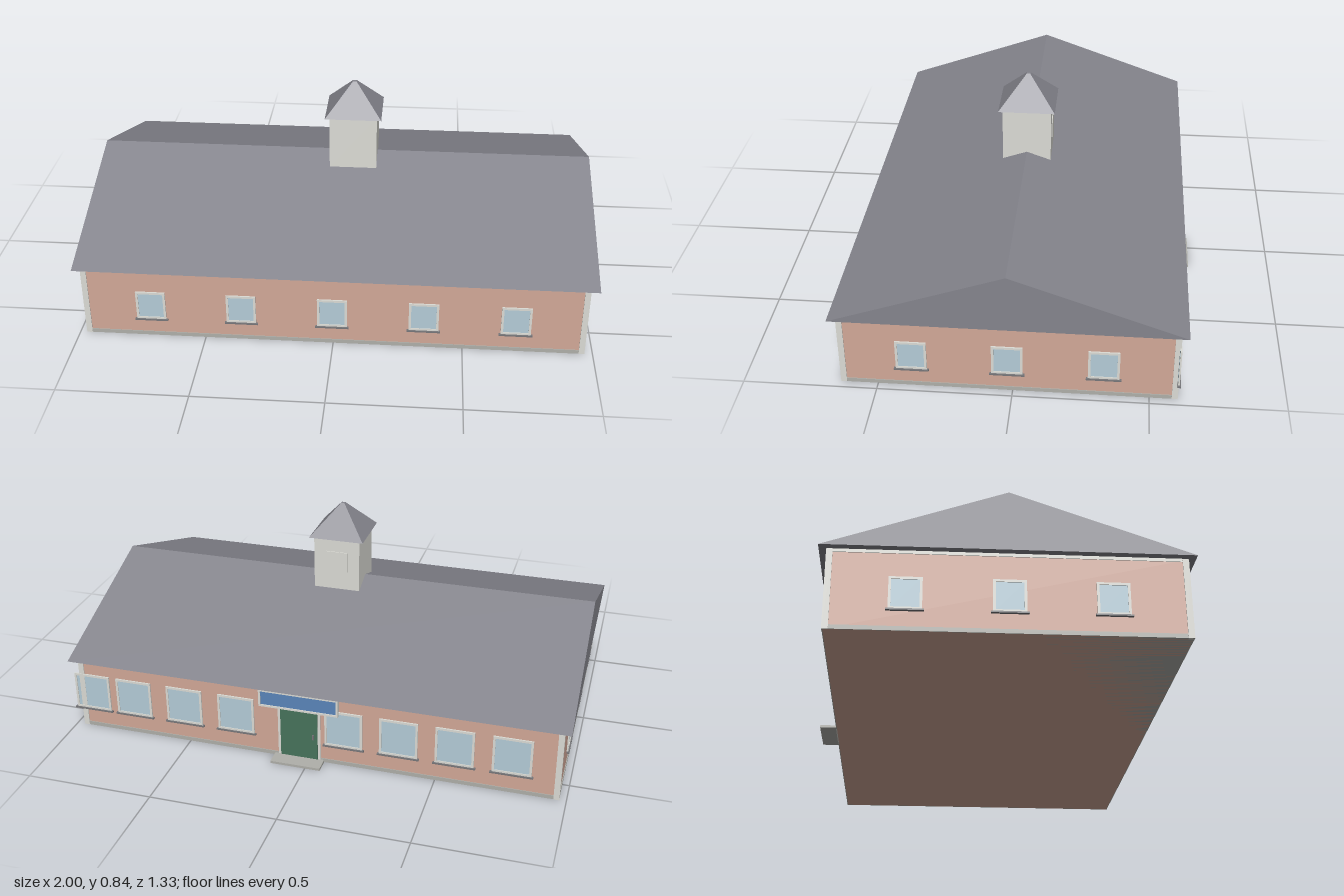
import * as THREE from 'three';

const mat = (color) => new THREE.MeshStandardMaterial({ color, flatShading: true });
const M = {
  wall: mat(0xd2a898), trim: mat(0xdcdcd6), roof: mat(0x85858d), glass: mat(0xb4ccd8),
  sill: mat(0x77777a), door: mat(0x47735c), sign: mat(0x5a86ba), stone: mat(0xb0b0aa),
};

// Building footprint
const X0 = -0.97, X1 = 0.965, Z0 = -0.6, Z1 = 0.635;
const CX = (X0 + X1) / 2, CZ = (Z0 + Z1) / 2;
const RIDGE_Z = 0.0175, EAVE_Y = 0.302;

function box(parent, name, material, w, h, d, x, y, z) {
  const mesh = new THREE.Mesh(new THREE.BoxGeometry(w, h, d), material);
  mesh.name = name;
  mesh.position.set(x, y, z);
  parent.add(mesh);
  return mesh;
}

// Picture-frame border around a w x h opening, facing +z, back at z = 0
function frame(parent, name, w, h, t, depth) {
  const shape = new THREE.Shape();
  shape.moveTo(-w / 2, -h / 2).lineTo(w / 2, -h / 2).lineTo(w / 2, h / 2).lineTo(-w / 2, h / 2).closePath();
  const a = w / 2 - t, b = h / 2 - t, hole = new THREE.Path();
  hole.moveTo(-a, -b).lineTo(-a, b).lineTo(a, b).lineTo(a, -b).closePath();
  shape.holes.push(hole);
  const mesh = new THREE.Mesh(new THREE.ExtrudeGeometry(shape, { depth, bevelEnabled: false }), M.trim);
  mesh.name = name;
  parent.add(mesh);
}

// Window with frame, glass and projecting sill, facing +z before rotation
function windowUnit(parent, name, w, h, x, y, z, turn) {
  const g = new THREE.Group();
  g.name = name;
  frame(g, 'windowFrame', w, h, 0.009, 0.006);
  box(g, 'windowGlass', M.glass, w - 0.016, h - 0.016, 0.004, 0, 0, 0.001);
  box(g, 'windowSill', M.sill, w + 0.014, 0.006, 0.012, 0, -h / 2 - 0.002, 0.005);
  g.position.set(x, y, z);
  g.rotation.y = turn;
  parent.add(g);
}

export function createModel() {
  const model = new THREE.Group();
  model.name = 'schoolhouse';

  // Brick body, plinth and eave band
  const W = X1 - X0, D = Z1 - Z0;
  box(model, 'walls', M.wall, W, 0.3, D, CX, 0.15, CZ);
  box(model, 'plinth', M.stone, W + 0.006, 0.016, D + 0.006, CX, 0.008, CZ);
  box(model, 'eaveBand', M.trim, W + 0.006, 0.012, D + 0.006, CX, 0.296, CZ);

  // Corner boards
  for (const x of [X0 + 0.007, X1 - 0.007]) {
    for (const z of [Z0 + 0.007, Z1 - 0.007]) {
      box(model, 'cornerBoard', M.trim, 0.022, 0.3, 0.022, x, 0.15, z);
    }
  }

  // Gabled roof, one prism along x
  const gable = new THREE.Shape();
  gable.moveTo(-0.6475, 0).lineTo(0.6475, 0).lineTo(0, 0.228).closePath();
  const roofGeo = new THREE.ExtrudeGeometry(gable, { depth: 2, bevelEnabled: false });
  roofGeo.translate(0, 0, -1).rotateY(Math.PI / 2);
  const roof = new THREE.Mesh(roofGeo, M.roof);
  roof.name = 'roof';
  roof.position.set(0, EAVE_Y, RIDGE_Z);
  model.add(roof);

  // Cupola tower with pyramid roof
  const cupola = new THREE.Group();
  cupola.name = 'cupola';
  cupola.position.set(0.04, 0, RIDGE_Z);
  box(cupola, 'cupolaTower', M.trim, 0.19, 0.225, 0.194, 0, 0.608, 0);
  box(cupola, 'cupolaPanel', M.trim, 0.09, 0.085, 0.006, 0, 0.618, -0.098);
  const cap = new THREE.Mesh(new THREE.CylinderGeometry(0.01, 0.113 * Math.SQRT2, 0.122, 4), M.roof);
  cap.name = 'cupolaRoof';
  cap.rotation.y = Math.PI / 4;
  cap.position.y = 0.778;
  cupola.add(cap);
  model.add(cupola);

  // Front windows
  for (let i = -2; i <= 2; i++) {
    windowUnit(model, 'frontWindow', 0.115, 0.122, -0.004 + i * 0.3525, 0.139, Z1, 0);
  }
  // Three windows on each gable end
  for (let i = -1; i <= 1; i++) {
    const z = 0.02 + i * 0.352;
    windowUnit(model, 'rightEndWindow', 0.115, 0.122, X1, 0.139, z, Math.PI / 2);
    windowUnit(model, 'leftEndWindow', 0.115, 0.122, X0, 0.139, z, -Math.PI / 2);
  }
  // Back windows either side of the entrance, the last one reaching the corner
  for (const x of [0.915, 0.735, 0.518, 0.3, -0.138, -0.355, -0.572, -0.79]) {
    windowUnit(model, 'backWindow', 0.15, 0.155, x, 0.16, Z0, Math.PI);
  }

  // Entrance: door, sign board and step
  const entrance = new THREE.Group();
  entrance.name = 'entrance';
  entrance.position.set(0.04, 0, Z0);
  entrance.rotation.y = Math.PI;
  box(entrance, 'doorFrame', M.trim, 0.172, 0.236, 0.006, 0, 0.118, 0.001);
  box(entrance, 'door', M.door, 0.15, 0.22, 0.01, 0, 0.116, 0.002);
  box(entrance, 'doorHandle', M.sill, 0.006, 0.022, 0.006, 0.058, 0.11, 0.009);
  box(entrance, 'step', M.stone, 0.2, 0.01, 0.066, 0, 0.005, 0.033);
  const board = new THREE.Group();
  board.name = 'signBoard';
  board.position.set(0, 0.258, 0);
  frame(board, 'signFrame', 0.32, 0.074, 0.008, 0.016);
  box(board, 'signPanel', M.sign, 0.306, 0.06, 0.012, 0, 0, 0.006);
  entrance.add(board);
  model.add(entrance);

  return model;
}
